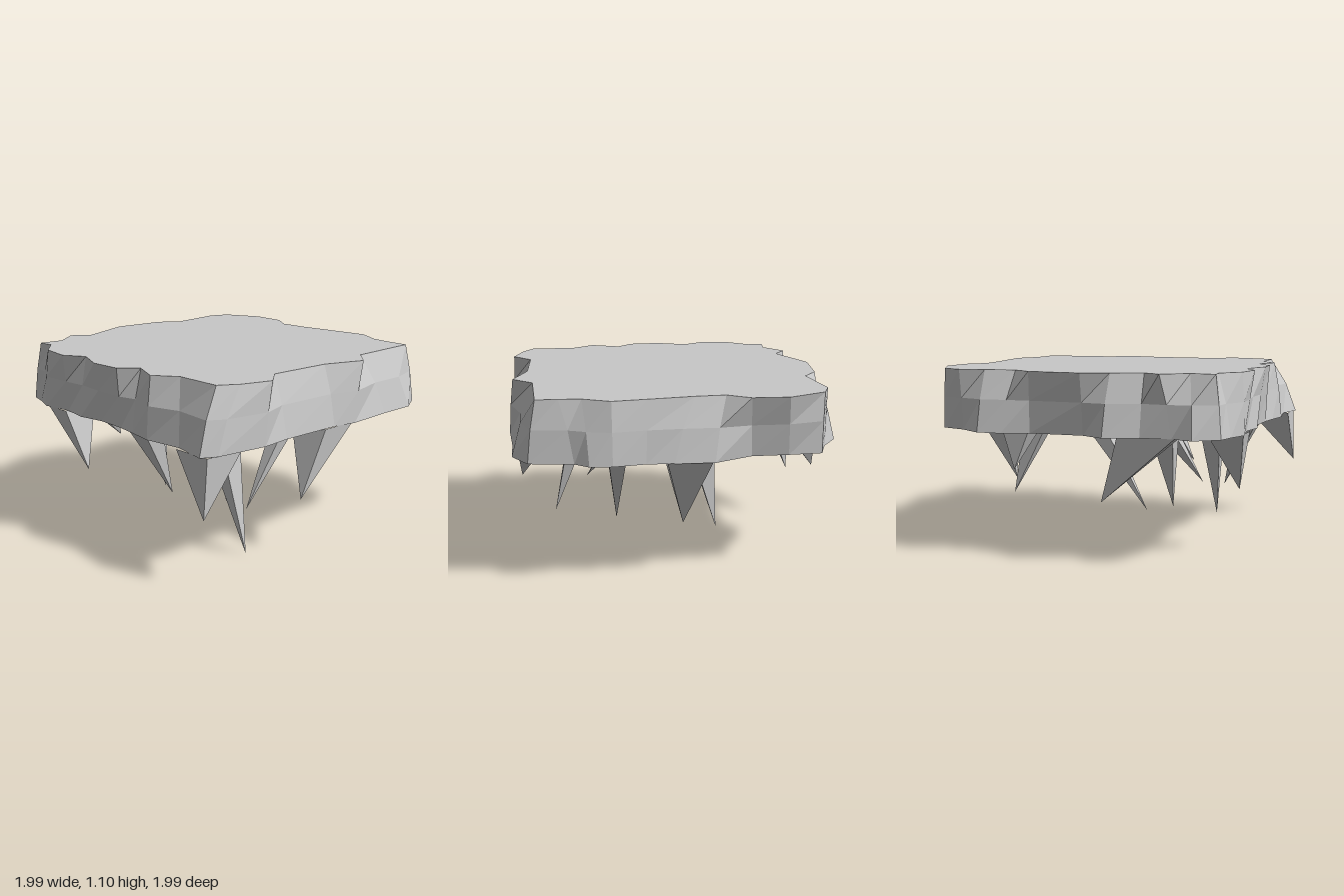
import * as THREE from 'three';

const TOP_Y = 1.1, MID_Y = 0.93, BOTTOM_Y = 0.74;

// Ragged outlines as x, z pairs, running clockwise seen from above
const topEdge = [
  -0.83, -0.83, -0.68, -0.81, -0.53, -0.92, -0.42, -0.84, -0.24, -0.91, -0.08, -0.97, 0.25, -0.93,
  0.37, -0.84, 0.56, -0.86, 0.72, -0.88, 0.84, -0.83, 0.95, -0.6, 0.94, -0.38, 0.85, -0.25,
  0.86, -0.07, 0.9, 0.2, 0.93, 0.41, 0.85, 0.57, 0.84, 0.7, 0.84, 0.83, 0.6, 0.835,
  0.37, 0.84, 0.25, 0.96, 0, 0.87, -0.4, 0.85, -0.53, 0.96, -0.72, 0.9, -0.83, 0.83,
  -0.83, 0.54, -0.93, 0.4, -0.85, 0.22, -0.95, 0.12, -0.96, -0.08, -0.88, -0.27, -0.96, -0.4,
  -0.93, -0.6, -0.82, -0.73,
];
const bottomEdge = [
  -0.87, -0.86, -0.73, -0.96, -0.6, -0.91, -0.42, -0.93, -0.22, -1, -0.08, -0.92, 0.25, -0.92,
  0.41, -0.98, 0.56, -0.98, 0.7, -0.88, 0.86, -0.82, 0.87, -0.62, 0.87, -0.4, 0.98, -0.17,
  0.97, 0.06, 0.96, 0.22, 0.99, 0.41, 0.98, 0.54, 0.91, 0.62, 0.87, 0.88, 0.71, 0.97,
  0.46, 0.97, 0.15, 0.99, 0, 0.96, -0.4, 0.95, -0.59, 0.97, -0.91, 0.93, -1, 0.88,
  -0.95, 0.66, -0.98, 0.42, -0.95, 0.25, -0.93, 0.12, -0.92, -0.08, -0.95, -0.25, -0.92, -0.42,
  -0.95, -0.62, -0.9, -0.75,
];

// Hanging spikes: base from x1 to x2 and z1 to z2, then tip x, y, z
const spikes = [
  [-0.98, -0.72, 0.67, 0.92, -0.99, 0.39, 0.9],
  [-0.94, -0.72, -0.6, -0.42, -0.86, 0.37, -0.31],
  [-0.88, -0.74, 0.1, 0.27, -0.64, 0.3, 0.24],
  [-0.57, -0.4, 0.41, 0.57, -0.48, 0, 0.71],
  [-0.26, -0.11, 0.11, 0.26, -0.43, 0.26, 0.49],
  [-0.45, -0.29, -0.36, -0.2, -0.39, 0.2, -0.12],
  [-0.09, 0.15, 0.7, 0.97, -0.25, 0.34, 0.93],
  [-0.62, -0.28, -0.91, -0.74, -0.17, 0.35, -0.87],
  [0.27, 0.43, 0.26, 0.41, -0.08, 0.07, 0.31],
  [0.27, 0.43, -0.9, -0.73, 0.36, 0.52, -0.9],
  [0.42, 0.59, -0.23, -0.08, 0.67, 0.25, -0.23],
  [0.77, 0.97, -0.16, 0.1, 0.75, 0.31, -0.02],
];

function ring(flat, y) {
  const points = [];
  for (let i = 0; i < flat.length; i += 2) points.push(new THREE.Vector3(flat[i], y, flat[i + 1]));
  return points;
}

function facetted(points) {
  const geometry = new THREE.BufferGeometry().setFromPoints(points);
  geometry.computeVertexNormals();
  return geometry;
}

// Fills an outline with triangles facing up or down
function cap(outline, up) {
  const flat = outline.map((p) => new THREE.Vector2(p.x, p.z));
  const out = [];
  for (const face of THREE.ShapeUtils.triangulateShape(flat, [])) {
    const [a, b, c] = face.map((i) => outline[i]);
    const facesUp = (b.z - a.z) * (c.x - a.x) - (b.x - a.x) * (c.z - a.z) > 0;
    out.push(...(facesUp === up ? [a, b, c] : [a, c, b]));
  }
  return out;
}

// Joins two rings with a band of facets
function band(upper, lower) {
  const out = [];
  upper.forEach((a, i) => {
    const j = (i + 1) % upper.length;
    out.push(a, upper[j], lower[j], a, lower[j], lower[i]);
  });
  return out;
}

// Four-sided spike with a rectangular base, leaning towards its tip
function spikeGeometry([x1, x2, z1, z2, tipX, tipY, tipZ]) {
  const tip = new THREE.Vector3(tipX, tipY, tipZ);
  const base = ring([x2, z2, x1, z2, x1, z1, x2, z1], BOTTOM_Y + 0.002);
  const out = [];
  base.forEach((p, i) => out.push(p, base[(i + 1) % 4], tip));
  return facetted(out);
}

export function createModel() {
  const group = new THREE.Group();
  const stone = new THREE.MeshStandardMaterial({ color: 0xc8c8c8, flatShading: true });
  stone.name = 'grey stone';

  const top = ring(topEdge, TOP_Y);
  const bottom = ring(bottomEdge, BOTTOM_Y);
  const middle = top.map((p, i) => p.clone().lerp(bottom[i], 0.6).setY(MID_Y));

  const add = (name, geometry) => {
    const mesh = new THREE.Mesh(geometry, stone);
    mesh.name = name;
    group.add(mesh);
  };

  // Slab
  add('slabTop', facetted(cap(top, true)));
  add('upperRim', facetted(band(top, middle)));
  add('lowerRim', facetted(band(middle, bottom)));
  add('slabUnderside', facetted(cap(bottom, false)));

  // Spikes below the slab
  spikes.forEach((s, i) => add(`hangingSpike${i + 1}`, spikeGeometry(s)));
  return group;
}
